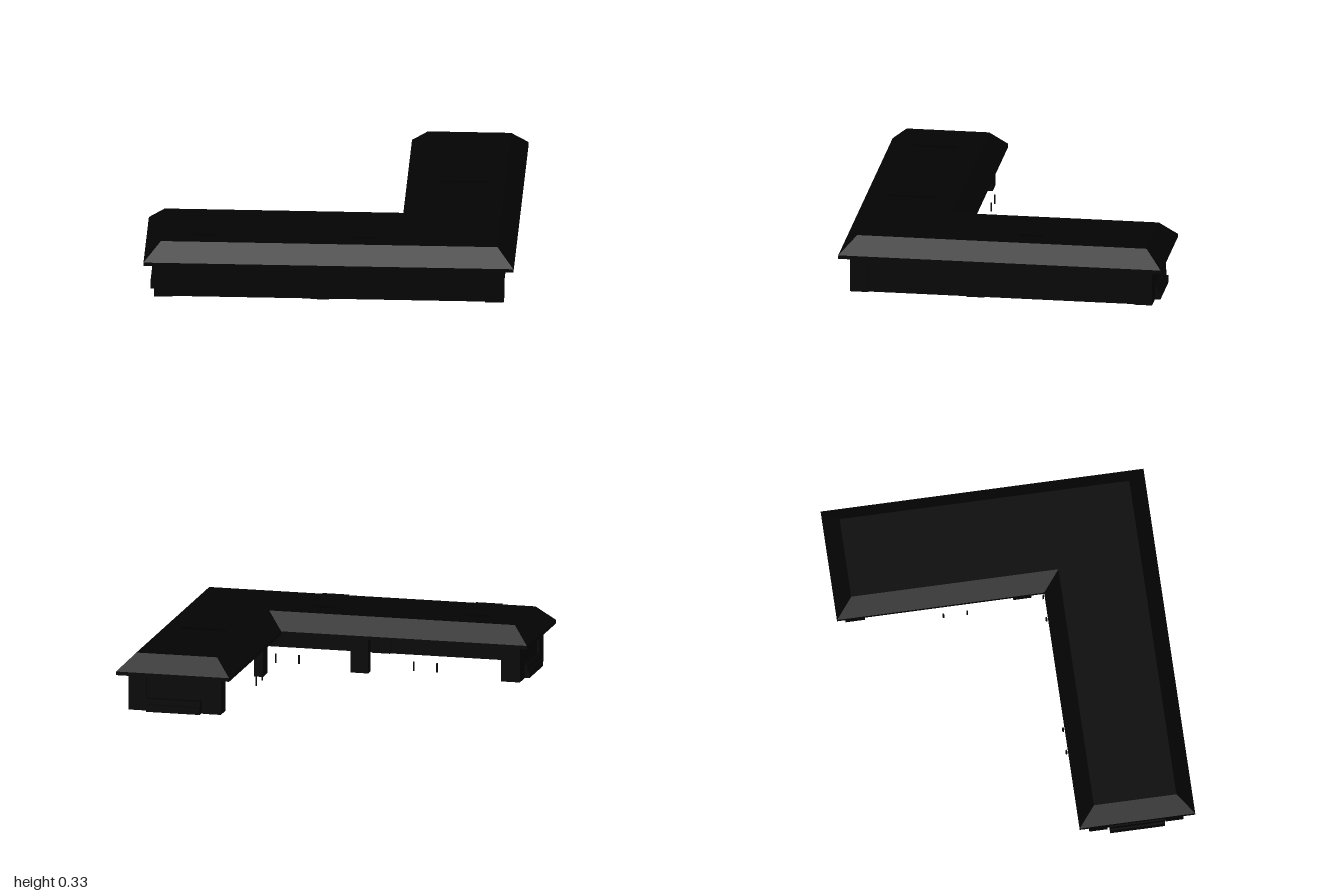
import * as THREE from 'three';

const black = new THREE.MeshStandardMaterial({ color: 0x030303 });
black.name = 'black';

// L-shaped plan outline, shrunk on every side by d
const outline = d => [
  [-1 + d, 0.25 + d], [-1 + d, 0.88 - d], [1 - d, 0.88 - d],
  [1 - d, -0.88 + d], [0.37 + d, -0.88 + d], [0.37 + d, 0.25 + d],
];

// Closed solid from stacked outlines given as [inset, y]
function layeredRoof(levels) {
  const rings = levels.map(([d, y]) => outline(d).map(([x, z]) => [x, y, z]));
  const pos = [];
  const tri = (a, b, c) => pos.push(...a, ...b, ...c);
  for (let k = 0; k < rings.length - 1; k++) {
    const lo = rings[k], hi = rings[k + 1];
    for (let i = 0; i < 6; i++) {
      const j = (i + 1) % 6;
      tri(lo[i], lo[j], hi[j]);
      tri(lo[i], hi[j], hi[i]);
    }
  }
  // Caps fan out from the inner corner
  const bottom = rings[0], top = rings[rings.length - 1];
  for (let i = 0; i < 4; i++) {
    tri(top[5], top[i], top[i + 1]);
    tri(bottom[5], bottom[i + 1], bottom[i]);
  }
  const g = new THREE.BufferGeometry();
  g.setAttribute('position', new THREE.Float32BufferAttribute(pos, 3));
  g.computeVertexNormals();
  return g;
}

export function createModel() {
  const model = new THREE.Group();
  model.name = 'cornerBuilding';

  const add = (name, geometry) => {
    const mesh = new THREE.Mesh(geometry, black);
    mesh.name = name;
    model.add(mesh);
    return mesh;
  };
  // Box between two corners
  const box = (name, x0, x1, y0, y1, z0, z1) => {
    const mesh = add(name, new THREE.BoxGeometry(x1 - x0, y1 - y0, z1 - z0));
    mesh.position.set((x0 + x1) / 2, (y0 + y1) / 2, (z0 + z1) / 2);
    return mesh;
  };

  // Hipped roof with an upright fascia
  add('roof', layeredRoof([[0, 0.2], [0, 0.22], [0.09, 0.31]]));

  // Outer walls, set slightly behind the pillars
  const H = 0.2;
  box('frontWall', -0.93, 0.93, 0, H, 0.795, 0.815);
  box('sideWall', 0.915, 0.935, 0, H, -0.81, 0.81);
  box('rightEndWall', -0.935, -0.915, 0, H, 0.32, 0.81);
  box('backEndWall', 0.44, 0.93, 0, H, -0.815, -0.795);

  // Corner pillars
  for (const [x, z] of [[-0.945, 0.725], [0.845, 0.725], [0.845, -0.825]])
    box('cornerPillar', x, x + 0.1, 0, H, z, z + 0.1);
  box('innerEndPillar', -0.945, -0.84, 0, H, 0.31, 0.41);
  box('innerEndPillar', 0.43, 0.53, 0, H, -0.825, -0.72);

  // Middle pillars on the outer walls and along the open courtyard side
  box('frontPillar', -0.1, 0, 0, H, 0.785, 0.825);
  box('sidePillar', 0.905, 0.945, 0, H, 0.09, 0.19);
  box('courtyardPillar', -0.1, 0, 0, H, 0.31, 0.36);
  box('courtyardPillar', 0.43, 0.48, 0, H, 0.09, 0.19);

  // Stepped ledges at both wing ends
  for (const [reach, height] of [[0.035, 0.04], [0.025, 0.07]]) {
    box('rightEndLedge', -0.935 - reach, -0.925, 0, height, 0.42, 0.72);
    box('backEndLedge', 0.54, 0.84, 0, height, -0.82 - reach, -0.81);
  }

  // Door handles facing the courtyard
  for (const x of [-0.5, -0.37, 0.27, 0.4])
    box('doorHandle', x - 0.004, x + 0.004, 0.045, 0.095, 0.244, 0.252);
  for (const z of [-0.3, -0.17])
    box('doorHandle', 0.364, 0.372, 0.045, 0.095, z - 0.004, z + 0.004);

  // Roof hatches, narrower at the base
  for (const [x0, x1, z0, z1] of [
    [-0.745, -0.595, 0.455, 0.725], [0.11, 0.26, 0.455, 0.725], [0.55, 0.82, -0.22, -0.07],
  ]) {
    const g = box('roofHatch', x0, x1, 0.305, 0.33, z0, z1).geometry;
    const p = g.attributes.position;
    for (let i = 0; i < p.count; i++) {
      if (p.getY(i) > 0) continue;
      p.setX(i, p.getX(i) - Math.sign(p.getX(i)) * 0.022);
      p.setZ(i, p.getZ(i) - Math.sign(p.getZ(i)) * 0.022);
    }
    g.computeVertexNormals();
  }

  return model;
}
